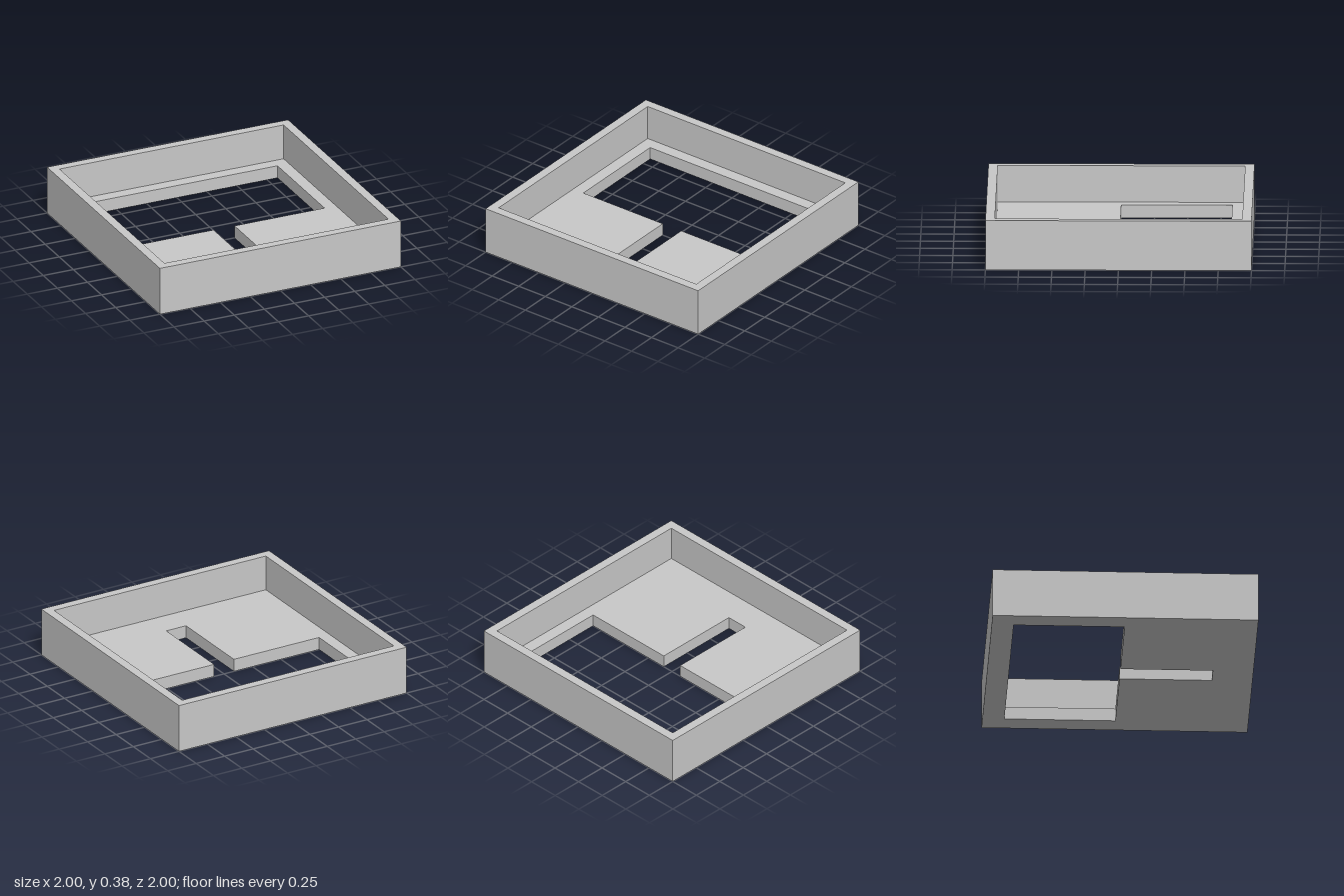
import * as THREE from 'three';

const HEIGHT = 0.38;    // full height of the tray
const FLOOR = 0.1;      // floor thickness
const INNER = 0.93;     // half width inside the walls
const WINDOW = 0.835;   // half width of the large opening
const SLOT = 0.087;     // half width of the narrow slot
const SLOT_END = 0.695; // z where the slot stops

// Counter-clockwise seen from above, so hole walls face into the hole
const square = (h) => [[-h, -h], [-h, h], [h, h], [h, -h]];
const toVectors = (points) => points.map(([x, z]) => new THREE.Vector2(x, -z));

// Horizontal slab from an (x, z) outline with one hole, between two heights
function slab(name, outline, hole, y0, y1, material) {
  const shape = new THREE.Shape(toVectors(outline));
  shape.holes.push(new THREE.Path(toVectors(hole)));
  const geometry = new THREE.ExtrudeGeometry(shape, { depth: y1 - y0, bevelEnabled: false });
  geometry.rotateX(-Math.PI / 2).translate(0, y0, 0);
  const mesh = new THREE.Mesh(geometry, material);
  mesh.name = name;
  return mesh;
}

export function createModel() {
  const group = new THREE.Group();
  group.name = 'openTray';
  const grey = new THREE.MeshStandardMaterial({ color: 0xc8c8c8 });
  grey.name = 'plain grey';

  // Opening in the rear half, with a slot running towards the front
  const opening = [
    [-WINDOW, -WINDOW], [-WINDOW, 0], [-SLOT, 0], [-SLOT, SLOT_END],
    [SLOT, SLOT_END], [SLOT, 0], [WINDOW, 0], [WINDOW, -WINDOW],
  ];
  group.add(slab('floor', square(1), opening, 0, FLOOR, grey));

  // Raised rim around all four sides
  group.add(slab('walls', square(1), square(INNER), FLOOR, HEIGHT, grey));
  return group;
}
